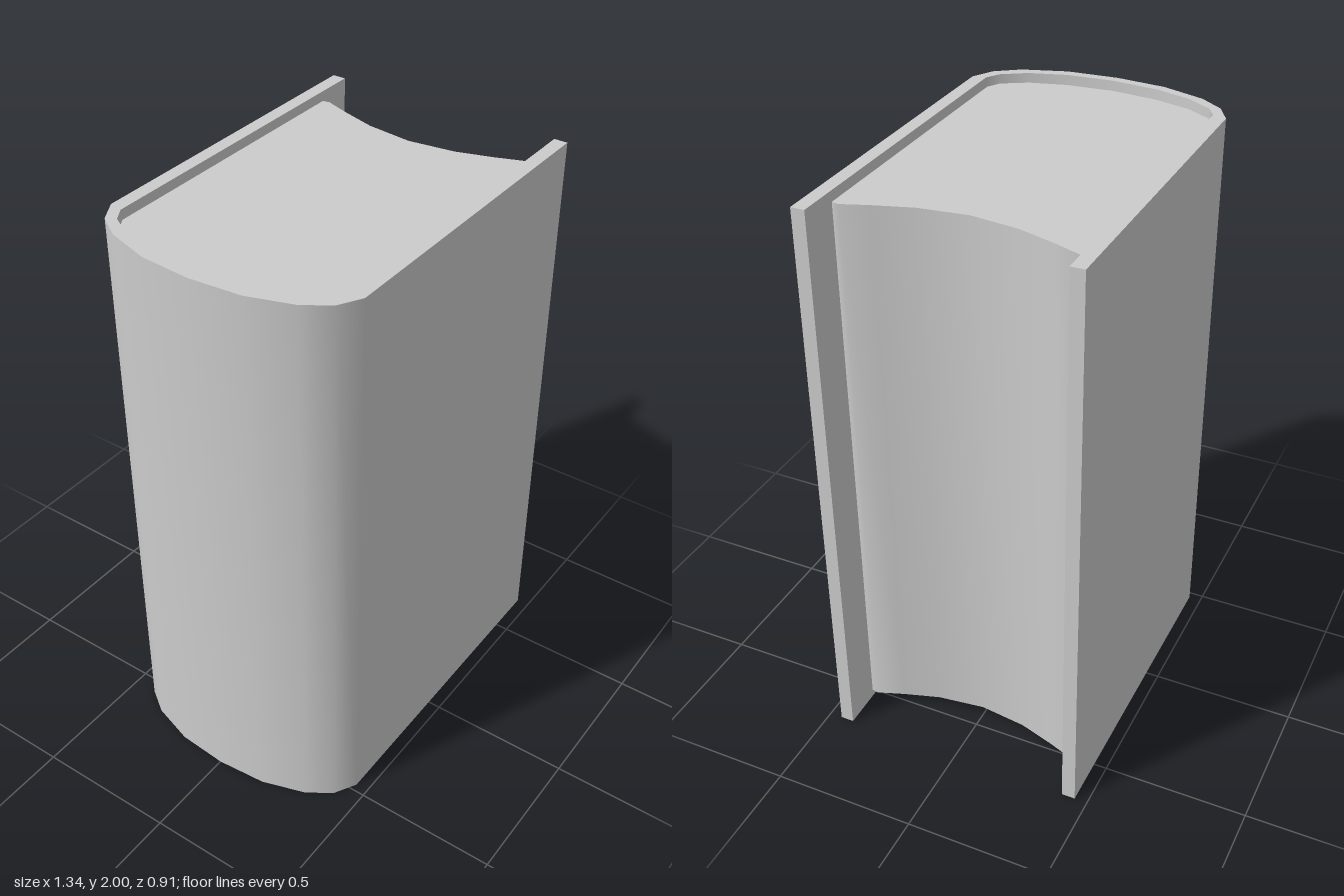
import * as THREE from 'three';
import { toCreasedNormals } from 'three/addons/utils/BufferGeometryUtils.js';

// Half outlines [x, z], running from the side to the middle (z = 0)
const coverOuter = [[0.67, 0.455], [-0.475, 0.455], [-0.55, 0.412], [-0.607, 0.33], [-0.656, 0.177], [-0.67, 0]];
const coverInner = [[0.67, 0.408], [-0.485, 0.408], [-0.532, 0.38], [-0.585, 0.295], [-0.624, 0.165], [-0.638, 0]];
const pagesSpine = [[-0.485, 0.404], [-0.53, 0.378], [-0.58, 0.29], [-0.614, 0.162], [-0.628, 0]];
const pagesFore = [[0.533, 0.404], [0.538, 0.38], [0.505, 0.29], [0.466, 0.165], [0.445, 0]];

// Mirror a half outline across z = 0 into a full one
const mirror = (half) => [...half, ...half.slice(0, -1).reverse().map(([x, z]) => [x, -z])];

// Upright prism from an outline, rounded along the curves, sharp at the rims
function prism(name, outline, y0, y1, material) {
  const shape = new THREE.Shape(outline.map(([x, z]) => new THREE.Vector2(x, -z)));
  const geometry = new THREE.ExtrudeGeometry(shape, { depth: y1 - y0, bevelEnabled: false });
  geometry.rotateX(-Math.PI / 2).translate(0, y0, 0);
  const mesh = new THREE.Mesh(toCreasedNormals(geometry, 0.65), material);
  mesh.name = name;
  return mesh;
}

export function createModel() {
  const group = new THREE.Group();
  group.name = 'book';
  const material = new THREE.MeshStandardMaterial({ color: 0xcccccc });

  // Cover: two boards joined by a rounded spine
  group.add(prism('cover', [...mirror(coverOuter), ...mirror(coverInner).reverse()], 0, 2, material));

  // Page block: rounded spine, hollow fore edge, set in from the cover's rims
  group.add(prism('pages', [...mirror(pagesSpine), ...mirror(pagesFore).reverse()], 0.035, 1.968, material));

  return group;
}
